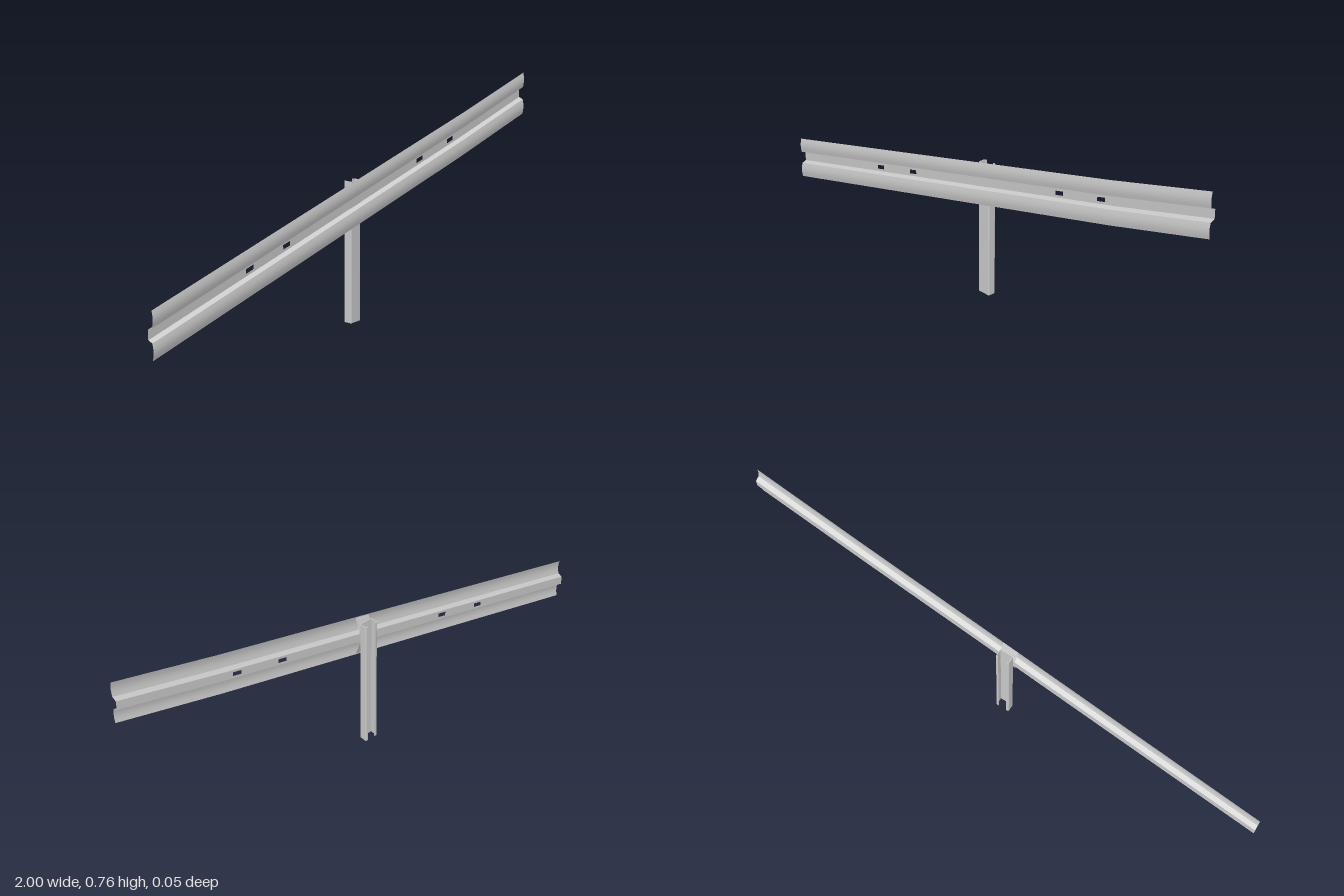
import * as THREE from 'three';

const grey = new THREE.MeshStandardMaterial({ color: 0xcccccc, side: THREE.DoubleSide });

// Height of the rail's centre line: a steady climb that steepens near the left end
const railY = (x) => 0.194 + 0.239 * (x + 1) + 0.018 * Math.max(0, x - 0.6);

// Sheet made by sweeping a [y, z] profile along the rail through the given x stations
function sweep(profile, stations) {
  const pos = [], idx = [], n = profile.length;
  for (const x of stations) for (const [y, z] of profile) pos.push(x, railY(x) + y, z);
  for (let i = 0; i < stations.length - 1; i++) {
    for (let j = 0; j < n - 1; j++) {
      const a = i * n + j, b = a + n;
      idx.push(a, b, a + 1, b, b + 1, a + 1);
    }
  }
  const geo = new THREE.BufferGeometry();
  geo.setAttribute('position', new THREE.Float32BufferAttribute(pos, 3));
  geo.setIndex(idx);
  geo.computeVertexNormals();
  return geo;
}

export function createModel() {
  const group = new THREE.Group();
  const add = (name, geo) => {
    const mesh = new THREE.Mesh(geo, grey);
    mesh.name = name;
    group.add(mesh);
    return mesh;
  };
  const stations = [-1, 0, 0.6, 1];
  const floorHalf = 0.0165, floorZ = 0.006;

  // Upper and lower rail waves, gently bowed, each with a web running back to the valley
  for (const s of [-1, 1]) {
    const flange = [];
    for (let i = 0; i <= 8; i++) {
      const t = i / 8;
      flange.push([s * (0.0235 + 0.0555 * t), 0.023 + 0.004 * Math.sin(Math.PI * t)]);
    }
    const web = [[s * floorHalf, floorZ], [s * 0.0235, 0.023]];
    // keep profiles running upward so the faces point forward
    if (s < 0) { flange.reverse(); web.reverse(); }
    const side = s > 0 ? 'upper' : 'lower';
    add(side + 'RailWave', sweep(flange, stations));
    add(side + 'RailWeb', sweep(web, stations));
  }

  // Valley floor of the rail with four bolt slots
  const floor = new THREE.Shape([
    ...stations.map((x) => new THREE.Vector2(x, railY(x) - floorHalf)),
    ...[...stations].reverse().map((x) => new THREE.Vector2(x, railY(x) + floorHalf)),
  ]);
  for (const cx of [-0.545, -0.365, 0.36, 0.545]) {
    const corners = [[-1, -1], [-1, 1], [1, 1], [1, -1]].map(([sx, sy]) => {
      const x = cx + sx * 0.017;
      return new THREE.Vector2(x, railY(x) + sy * 0.0075);
    });
    floor.holes.push(new THREE.Path(corners));
  }
  add('railValley', new THREE.ShapeGeometry(floor)).position.z = floorZ;

  // Folded bracket between rail and post
  const bracketX = [-0.031, 0.027];
  add('bracketLowerArm', sweep([[-0.076, 0.023], [-0.025, 0.0035]], bracketX));
  add('bracketBack', sweep([[-0.025, 0.0035], [0.025, 0.0035]], bracketX));
  add('bracketUpperArm', sweep([[0.025, 0.0035], [0.076, 0.023]], bracketX));

  // Clamp plate in the valley
  add('clampPlate', sweep([[-0.0165, 0.0075], [0.0165, 0.0075]], bracketX));

  // Lipped channel post, open towards the back
  const half = 0.026, front = 0.003, back = -0.027, t = 0.0025, r = 0.004, lip = 0.016;
  const section = new THREE.Shape();
  // shape y is the negative of model z
  section.moveTo(-lip, -back);
  section.lineTo(-half + r, -back);
  section.quadraticCurveTo(-half, -back, -half, -back - r);
  section.lineTo(-half, -front + r);
  section.quadraticCurveTo(-half, -front, -half + r, -front);
  section.lineTo(half - r, -front);
  section.quadraticCurveTo(half, -front, half, -front + r);
  section.lineTo(half, -back - r);
  section.quadraticCurveTo(half, -back, half - r, -back);
  section.lineTo(lip, -back);
  section.lineTo(lip, -back - t);
  section.lineTo(half - t, -back - t);
  section.lineTo(half - t, -front + t);
  section.lineTo(-half + t, -front + t);
  section.lineTo(-half + t, -back - t);
  section.lineTo(-lip, -back - t);
  section.closePath();
  const post = new THREE.ExtrudeGeometry(section, { depth: 0.5, bevelEnabled: false, curveSegments: 4 });
  post.rotateX(-Math.PI / 2);
  add('post', post);

  return group;
}
